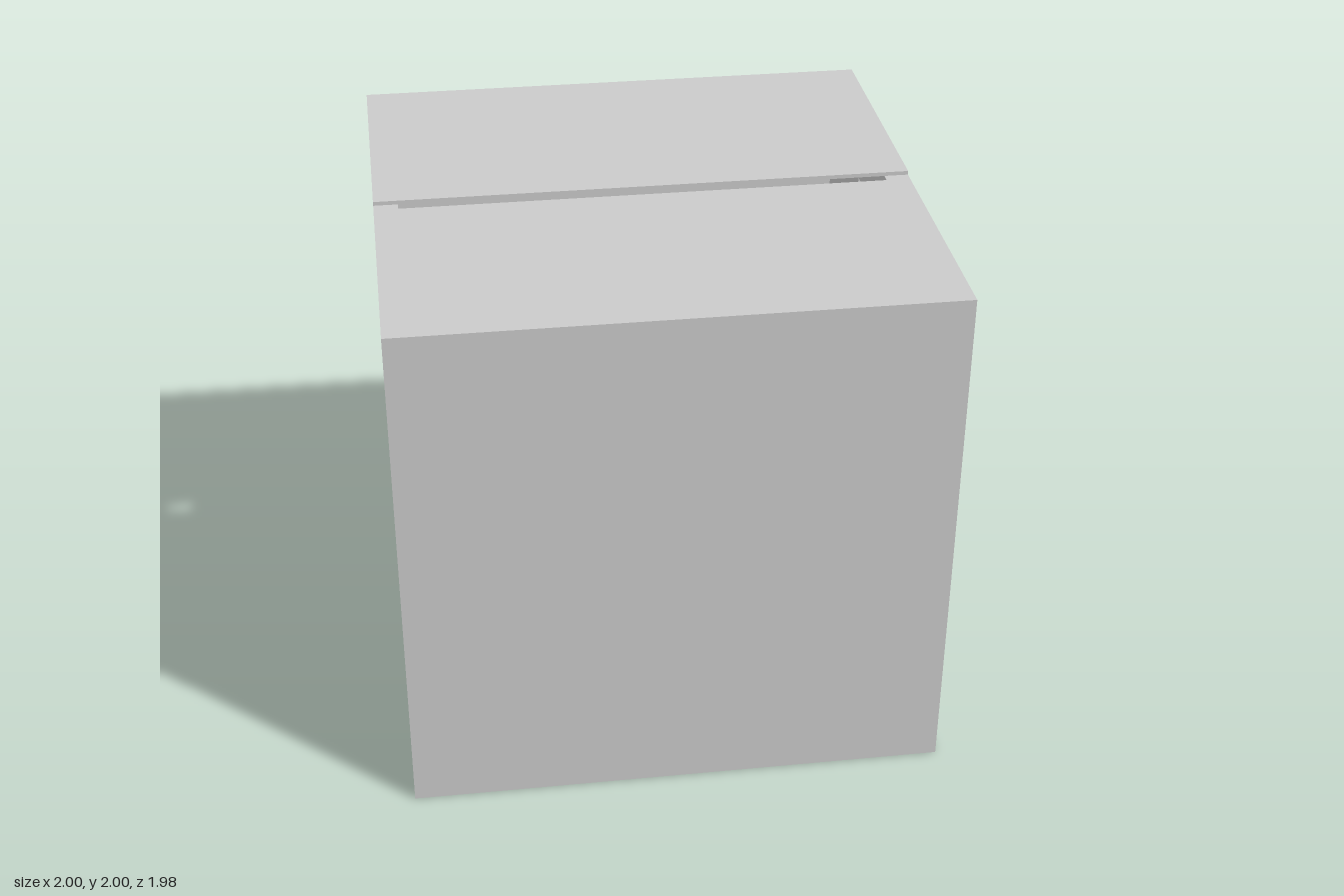
import * as THREE from 'three';

const W = 1, D = 0.99, H = 1.985, T = 0.09; // half width, half depth, wall height, wall thickness
const FLAP = 0.015;

export function createModel() {
  const group = new THREE.Group();
  group.name = 'cartonBox';
  const material = new THREE.MeshStandardMaterial({ color: 0xcccccc, flatShading: true });

  const add = (name, geometry) => {
    const mesh = new THREE.Mesh(geometry, material);
    mesh.name = name;
    group.add(mesh);
  };

  // Box between two opposite corners
  const panel = (name, [x0, y0, z0], [x1, y1, z1]) => {
    const geometry = new THREE.BoxGeometry(x1 - x0, y1 - y0, z1 - z0);
    geometry.translate((x0 + x1) / 2, (y0 + y1) / 2, (z0 + z1) / 2);
    add(name, geometry);
  };

  // Side walls, drawn in z and y, with a hand hole cut through
  const outline = [[-D, 0], [D, 0], [D, H], [-D, H]];
  const handHole = [[-0.4, 1.79], [0.4, 1.79], [0.4, 1.63], [0.27, 1.475], [-0.27, 1.475], [-0.4, 1.63]];
  const points = list => list.map(([a, b]) => new THREE.Vector2(a, b));
  const shape = new THREE.Shape(points(outline));
  shape.holes.push(new THREE.Path(points(handHole)));
  for (const [name, x] of [['leftWall', W - T], ['rightWall', -W]]) {
    const geometry = new THREE.ExtrudeGeometry(shape, { depth: T, bevelEnabled: false });
    geometry.rotateY(Math.PI / 2).translate(x, 0, 0);
    add(name, geometry);
  }

  // Front and back walls and floor, set between the side walls
  const inner = W - T;
  panel('frontWall', [-inner, 0, D - T], [inner, H, D]);
  panel('backWall', [-inner, 0, -D], [inner, H, -D + T]);
  panel('floor', [-inner, 0, -D + T], [inner, T, D - T]);

  // Front flap lies flush inside the rim and stops short, leaving a slot
  panel('frontFlap', [-inner, H - FLAP, 0.036], [inner, H, D - T]);

  // Back flap rests on top of the rim
  panel('backFlap', [-W, H, -D], [W, H + FLAP, 0]);

  return group;
}
